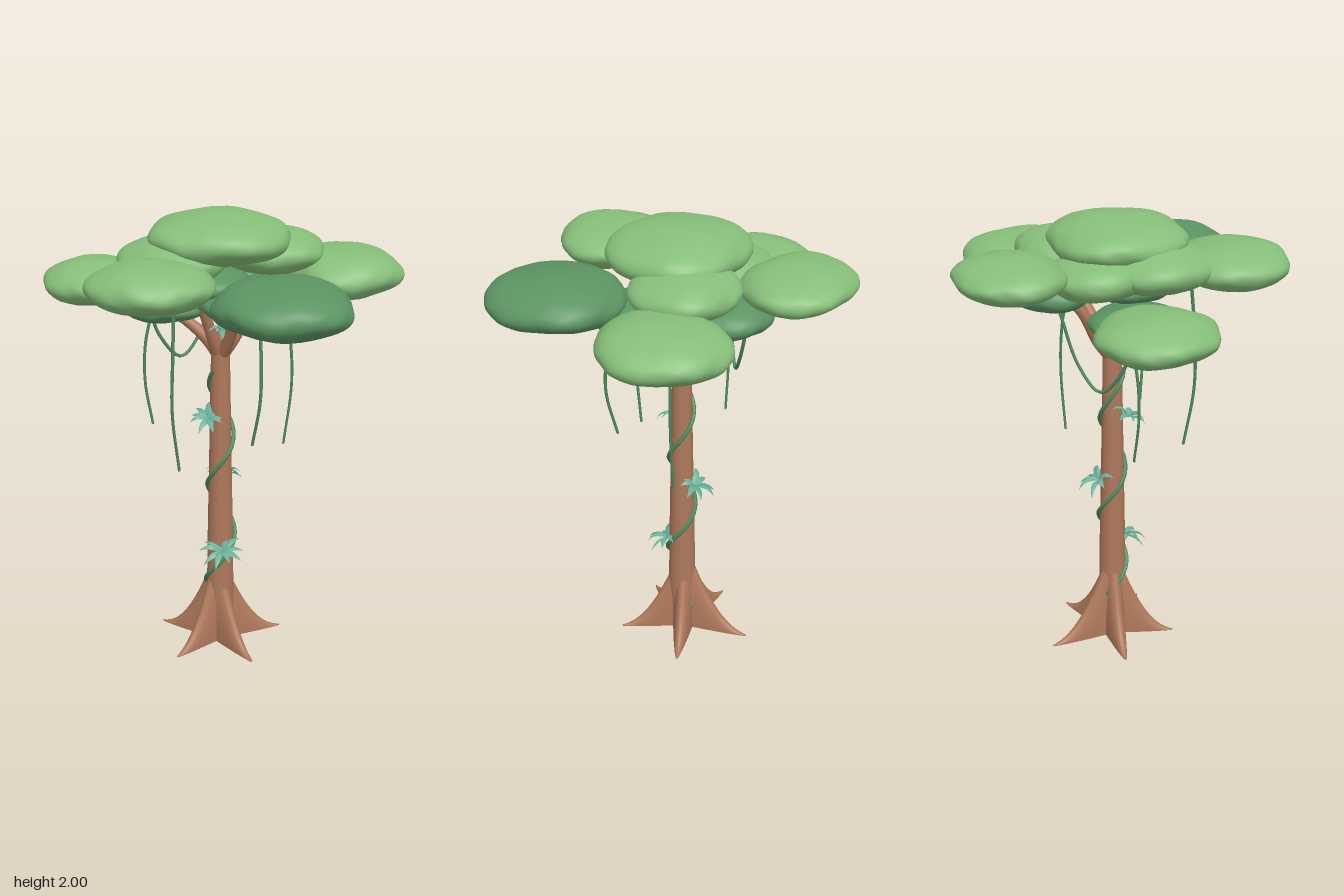
import * as THREE from 'three';
import { mergeGeometries, mergeVertices } from 'three/addons/utils/BufferGeometryUtils.js';
import { ParametricGeometry } from 'three/addons/geometries/ParametricGeometry.js';

const V = (p) => new THREE.Vector3(...p);

function material(name, color, side = THREE.FrontSide) {
  const m = new THREE.MeshStandardMaterial({ color, side });
  m.name = name;
  return m;
}

// Smooth lumpy cushion that exactly fills the given size
function cushion(size, seed) {
  let g = new THREE.IcosahedronGeometry(1, 9);
  g.deleteAttribute('uv');
  g.deleteAttribute('normal');
  g = mergeVertices(g, 1e-4);
  const p = g.attributes.position, v = new THREE.Vector3();
  for (let i = 0; i < p.count; i++) {
    v.fromBufferAttribute(p, i).normalize();
    const { x, y, z } = v;
    const lumps = 0.025 * Math.sin(3.1 * x + seed * 1.7 + 2 * z) * Math.cos(2.7 * z - seed)
      + 0.02 * Math.sin(5.3 * z + seed * 2.3 - 2 * y) + 0.02 * Math.cos(6.1 * x - seed * 0.9 + 3 * y)
      + 0.01 * Math.sin(11 * x + 5 * z + seed) * Math.sin(10 * z - 4 * x + 6 * y - seed);
    v.multiplyScalar(1 + lumps);
    p.setXYZ(i, v.x, v.y, v.z);
  }
  g.center();
  g.boundingBox.getSize(v);
  g.scale(size[0] / v.x, size[1] / v.y, size[2] / v.z);
  g.computeVertexNormals();
  return g;
}

// Tube along points whose radius runs from r0 to r1
function taperedTube(points, r0, r1, segments = 20, sides = 8) {
  const curve = new THREE.CatmullRomCurve3(points.map(V));
  const g = new THREE.TubeGeometry(curve, segments, 1, sides);
  const p = g.attributes.position, v = new THREE.Vector3();
  for (let i = 0; i < p.count; i++) {
    const t = Math.floor(i / (sides + 1)) / segments;
    const c = curve.getPointAt(t);
    v.fromBufferAttribute(p, i).sub(c).multiplyScalar(r0 + (r1 - r0) * t).add(c);
    p.setXYZ(i, v.x, v.y, v.z);
  }
  return g;
}

// Buttress root running out along +x, flat underneath
function rootGeometry(length) {
  return new ParametricGeometry((u, v, out) => {
    const a = u * Math.PI * 2;
    const w = 0.05 * Math.pow(1 - v, 0.75) + 0.002;
    const h = 0.4 * Math.pow(1 - v, 2) + 0.006;
    out.set(0.02 + (length - 0.02) * v, h * Math.max(0, Math.sin(a)), -w * Math.cos(a));
  }, 28, 18);
}

// Rosette of arching pointed leaves, folded along the midrib
function fernGeometry(count, length) {
  const leaves = [];
  for (let i = 0; i < count; i++) {
    const rise = 0.7 + 0.35 * (i % 3), len = length * (0.85 + 0.08 * (i % 4));
    const g = new ParametricGeometry((u, v, out) => {
      const w = 0.015 * Math.sin(Math.PI * Math.pow(v, 0.7));
      const side = (u - 0.5) * 2;
      const y = len * (rise * v - (rise * 0.6 + 0.4) * v * v) - Math.abs(side) * w * 0.5;
      out.set(len * v, y, side * w);
    }, 2, 7);
    leaves.push(g.rotateY((i / count) * Math.PI * 2 + 0.2));
  }
  return mergeGeometries(leaves);
}

export function createModel() {
  const tree = new THREE.Group();
  tree.name = 'jungleTree';
  const bark = material('bark', 0xae785b);
  const lightLeaf = material('lightLeaf', 0x86be79);
  const darkLeaf = material('darkLeaf', 0x5b9463);
  const vine = material('vine', 0x4f8a5c);
  const fern = material('fern', 0x6bb39b, THREE.DoubleSide);

  const add = (name, geometry, mat, pos = [0, 0, 0]) => {
    const m = new THREE.Mesh(geometry, mat);
    m.name = name;
    m.position.set(...pos);
    tree.add(m);
    return m;
  };

  // Trunk
  const profile = [[0, 0], [0.066, 0], [0.062, 0.2], [0.058, 0.5], [0.05, 0.9], [0.041, 1.38], [0.036, 1.43], [0, 1.45]];
  add('trunk', new THREE.LatheGeometry(profile.map(([x, y]) => new THREE.Vector2(x, y)), 24), bark, [0.012, 0, 0.005]);

  // Buttress roots: heading in degrees from +x towards +z, length
  [[50, 0.3], [122, 0.285], [194, 0.28], [266, 0.32], [338, 0.3]].forEach(([deg, len]) => {
    add('buttressRoot', rootGeometry(len), bark).rotation.y = -deg * Math.PI / 180;
  });

  // Branches ending inside the canopy
  [[0.18, 1.64, 0.2], [0.26, 1.64, -0.1], [0.03, 1.68, -0.26], [-0.27, 1.56, -0.03], [-0.1, 1.68, 0.16]].forEach(([x, y, z]) => {
    add('branch', taperedTube([[0.012, 1.37, 0.005], [x * 0.2 + 0.01, 1.44, z * 0.2],
      [x * 0.58, 1.45 + (y - 1.45) * 0.7, z * 0.58], [x, y, z]], 0.032, 0.016, 16, 10), bark);
  });

  // Upper canopy: centre, size
  [
    [[-0.535, 1.665, -0.08], [0.48, 0.19, 0.51]],
    [[-0.06, 1.815, -0.48], [0.52, 0.18, 0.445]],
    [[0.515, 1.715, -0.185], [0.51, 0.21, 0.55]],
    [[-0.195, 1.785, 0.445], [0.51, 0.19, 0.49]],
    [[0.01, 1.89, 0.02], [0.58, 0.22, 0.56]],
    [[0.2, 1.815, -0.11], [0.46, 0.19, 0.45]],
    [[-0.17, 1.81, 0.12], [0.46, 0.19, 0.48]],
    [[-0.11, 1.79, -0.12], [0.43, 0.19, 0.43]],
  ].forEach(([c, s], i) => add('leafCushion', cushion(s, i * 2.37 + 1), lightLeaf, c));

  // Shaded canopy: front cushion, lower ring and centre
  [
    [[0.315, 1.715, 0.415], [0.55, 0.22, 0.57]],
    [[0.24, 1.65, -0.1], [0.38, 0.15, 0.38]],
    [[0.07, 1.685, -0.25], [0.36, 0.16, 0.34]],
    [[0.15, 1.64, 0.15], [0.4, 0.15, 0.38]],
    [[-0.22, 1.6, 0], [0.41, 0.14, 0.4]],
    [[-0.04, 1.71, 0.06], [0.36, 0.14, 0.36]],
  ].forEach(([c, s], i) => add('shadedLeafCushion', cushion(s, i * 3.11 + 5), darkLeaf, c));

  // Hanging vines
  [
    [[-0.28, 1.6, -0.07], [-0.325, 1.4, -0.05], [-0.33, 1.22, -0.045], [-0.3, 1.02, -0.05]],
    [[-0.13, 1.72, 0.3], [-0.135, 1.45, 0.325], [-0.14, 1.22, 0.325], [-0.12, 0.95, 0.29]],
    [[0.2, 1.64, 0.22], [0.215, 1.45, 0.25], [0.215, 1.27, 0.26], [0.18, 1.06, 0.23]],
    [[0.26, 1.64, -0.08], [0.3, 1.43, -0.1], [0.31, 1.22, -0.105], [0.28, 0.94, -0.1]],
  ].forEach((pts) => add('hangingVine', taperedTube(pts, 0.0075, 0.006, 20, 6), vine));

  // Looping vine between two branches
  add('loopVine', taperedTube([[-0.32, 1.6, -0.06], [-0.27, 1.42, -0.09], [-0.185, 1.31, -0.15],
    [-0.11, 1.41, -0.21], [-0.06, 1.64, -0.27]], 0.0075, 0.0075, 28, 6), vine);

  // Vine winding up the trunk
  const spiral = [];
  for (let i = 0; i <= 40; i++) {
    const y = 0.05 + (1.27 * i) / 40;
    const a = Math.PI / 2 - ((y - 0.4) / 0.48) * Math.PI * 2;
    const r = 0.072 - 0.016 * y;
    spiral.push([0.014 + r * Math.cos(a), y, 0.005 + r * Math.sin(a)]);
  }
  add('climbingVine', taperedTube(spiral, 0.011, 0.009, 130, 7), vine);

  // Ferns on the trunk and in the fork: position, leaves, length, tilt away from the trunk
  [
    [[0.03, 0.47, 0.07], 10, 0.11, 0.45],
    [[0.02, 0.79, -0.06], 9, 0.1, -0.45],
    [[-0.035, 1.1, 0.055], 9, 0.09, 0.4],
    [[0.02, 1.49, 0.02], 8, 0.09, 0],
  ].forEach(([pos, n, len, tilt]) => {
    add('fern', fernGeometry(n, len), fern, pos).rotation.x = tilt;
  });

  return tree;
}
